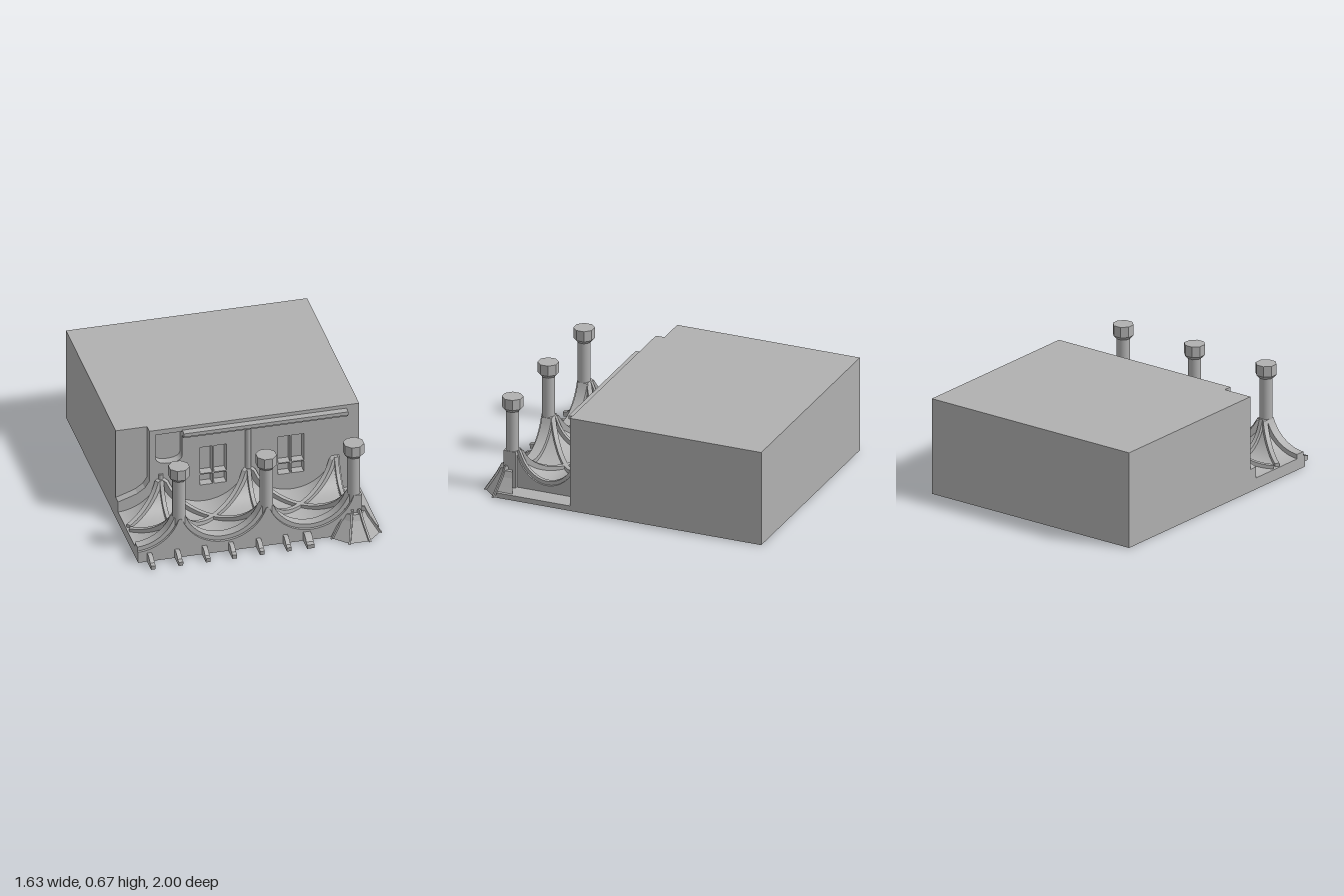
import * as THREE from 'three';
import { toCreasedNormals } from 'three/addons/utils/BufferGeometryUtils.js';

const stone = new THREE.MeshStandardMaterial({ color: 0xb0b0b0 });
stone.name = 'grey stone';

const COLUMNS = [-0.525, 0.06, 0.645];
const BAY = 0.585, VAULT_Z = 0.575, VAULT_HALF = 0.225;

// Height of the inverted arch: t = 0 at its low point, 1 at the springing
function arch(t, lift) {
  const r = 0.295 - lift;
  return Math.min(0.29, 0.374 - Math.sqrt(Math.max(0, r * r - (0.2925 * t) ** 2)));
}
function bayT(x) {
  const u = Math.min((x - COLUMNS[0]) / BAY, 2);
  return u === 2 ? 1 : Math.abs(2 * (u - Math.floor(u)) - 1);
}

export function createModel() {
  const model = new THREE.Group();
  model.name = 'vaultedGallery';

  function add(name, geo, x = 0, y = 0, z = 0) {
    const mesh = new THREE.Mesh(geo, stone);
    mesh.name = name;
    mesh.position.set(x, y, z);
    model.add(mesh);
    return mesh;
  }
  function block(name, x0, x1, y0, y1, z0, z1) {
    return add(name, new THREE.BoxGeometry(x1 - x0, y1 - y0, z1 - z0),
      (x0 + x1) / 2, (y0 + y1) / 2, (z0 + z1) / 2);
  }
  const outline = (pts) => new THREE.Shape(pts.map(([x, y]) => new THREE.Vector2(x, y)));
  const extrude = (shape, depth) =>
    new THREE.ExtrudeGeometry(shape, { depth, bevelEnabled: false, curveSegments: 10 });
  function flat(geo) {
    const g = geo.index ? geo.toNonIndexed() : geo;
    g.computeVertexNormals();
    return g;
  }

  // Main hall with a pierced front layer
  block('hall', -0.81, 0.805, 0, 0.66, -1, 0.29);
  const facade = outline([[-0.81, 0], [0.805, 0], [0.805, 0.66], [-0.6, 0.66], [-0.6, 0.28],
    [-0.63, 0.235], [-0.68, 0.2], [-0.74, 0.178], [-0.81, 0.155]]);
  for (const x of [-0.26, 0.26]) {
    for (const [a, b] of [[0, 0.083], [0.092, 0.175]]) {
      for (const [y0, y1] of [[0.2, 0.278], [0.286, 0.485]]) {
        facade.holes.push(new THREE.Path([[x + a, y0], [x + b, y0], [x + b, y1], [x + a, y1]]
          .map(([px, py]) => new THREE.Vector2(px, py))));
      }
    }
  }
  // Niche with a rounded foot
  const niche = new THREE.Path();
  niche.moveTo(-0.56, 0.625);
  niche.lineTo(-0.56, 0.45);
  niche.quadraticCurveTo(-0.55, 0.4, -0.47, 0.4);
  niche.quadraticCurveTo(-0.39, 0.4, -0.38, 0.44);
  niche.lineTo(-0.38, 0.625);
  facade.holes.push(niche);
  add('facade', extrude(facade, 0.06), 0, 0, 0.29);

  // Cornice and wall shafts
  block('corniceLower', -0.38, 0.72, 0.595, 0.612, 0.35, 0.385);
  block('corniceUpper', -0.38, 0.72, 0.61, 0.635, 0.35, 0.398);
  add('wallShaft', new THREE.CylinderGeometry(0.02, 0.02, 0.35, 16), 0.06, 0.425, 0.353);
  add('wallStub', new THREE.CylinderGeometry(0.015, 0.015, 0.05, 16), COLUMNS[0], 0.3, 0.352);

  // Floor and vault core
  block('floorSlab', -0.81, 0.805, 0, 0.035, 0.35, 0.87);
  block('vaultCore', -0.81, 0.665, 0, 0.078, 0.35, 0.8);

  // Inverted groin vault
  const x0 = -0.81, x1 = 0.645, z0 = 0.35, z1 = 0.8;
  const vault = new THREE.PlaneGeometry(x1 - x0, z1 - z0, 140, 44);
  vault.rotateX(-Math.PI / 2);
  vault.translate((x0 + x1) / 2, 0, (z0 + z1) / 2);
  const vp = vault.attributes.position;
  for (let i = 0; i < vp.count; i++) {
    const tz = Math.abs(vp.getZ(i) - VAULT_Z) / VAULT_HALF;
    vp.setY(i, arch(Math.min(bayT(vp.getX(i)), tz), 0));
  }
  add('vaultWeb', toCreasedNormals(vault, 0.5));

  // Curved rib between two plan points; ta and tb run along the arch
  function rib(name, ax, az, bx, bz, ta, tb, width, lift, base) {
    const len = Math.hypot(bx - ax, bz - az);
    const g = new THREE.BoxGeometry(width, 1, len, 1, 1, 32);
    const p = g.attributes.position;
    for (let i = 0; i < p.count; i++) {
      const t = Math.abs(ta + (tb - ta) * (p.getZ(i) / len + 0.5));
      p.setY(i, p.getY(i) > 0 ? arch(t, lift) : base ?? arch(t, 0) - 0.03);
    }
    const mesh = add(name, toCreasedNormals(g, 0.5), (ax + bx) / 2, 0, (az + bz) / 2);
    mesh.rotation.y = Math.atan2(bx - ax, bz - az);
  }
  for (const x of COLUMNS) {
    rib('transverseRib', x, z0, x, z1, -1, 1, 0.026, 0.03);
  }
  rib('endArchWall', 0.65, z0, 0.65, z1, -1, 1, 0.04, 0.004, 0);
  for (let i = 0; i < 2; i++) {
    const a = COLUMNS[i], b = COLUMNS[i + 1];
    rib('diagonalRib', a, z0, b, z1, -1, 1, 0.03, 0.022);
    rib('diagonalRib', a, z1, b, z0, -1, 1, 0.03, 0.022);
  }
  for (const z of [z0, z1]) {
    const zs = VAULT_Z + (z - VAULT_Z) * 0.08;
    rib('diagonalRib', -0.794, zs, COLUMNS[0], z, 0.08, 1, 0.03, 0.022);
  }

  // Front arcade: a thin face plate and a raised arch band behind it
  function arcade(name, lift, za, zb) {
    const pts = [[-0.81, 0], [0.69, 0]];
    for (let i = 0; i <= 110; i++) {
      const x = 0.69 - (1.5 * i) / 110;
      pts.push([x, arch(bayT(x), lift)]);
    }
    add(name, toCreasedNormals(extrude(outline(pts), zb - za), 0.5), 0, 0, za);
  }
  arcade('arcadeBand', 0.03, 0.785, 0.852);
  arcade('arcadeFace', 0, 0.85, 0.87);

  // Columns with octagonal heads
  for (const x of COLUMNS) {
    add('columnShaft', new THREE.CylinderGeometry(0.043, 0.043, 0.37, 24), x, 0.4, 0.825);
    const head = new THREE.LatheGeometry([[0, 0.57], [0.05, 0.57], [0.07, 0.592], [0.07, 0.665], [0, 0.665]]
      .map(([r, y]) => new THREE.Vector2(r, y)), 8, Math.PI / 8);
    add('columnHead', flat(head), x, 0, 0.825);
  }

  // Small curled brackets along the front
  const curl = outline([[0.86, 0], [0.975, 0], [0.98, 0.03], [0.95, 0.036], [0.935, 0.052],
    [0.905, 0.065], [0.86, 0.065]]);
  [-0.735, -0.55, -0.367, -0.19, -0.005, 0.175, 0.32].forEach((x, i) => {
    const w = i === 6 ? 0.048 : 0.03;
    const g = extrude(curl, w);
    g.rotateY(-Math.PI / 2);
    add('bracket', g, x + w / 2, 0, 0);
  });

  // Flared corner foot: faceted skirt with a rib on each edge
  const foot = new THREE.Group();
  foot.name = 'cornerFoot';
  foot.position.set(0.645, 0, 0.825);
  model.add(foot);
  const skirt = new THREE.Mesh(flat(new THREE.LatheGeometry(
    [[0, 0], [0.172, 0], [0.13, 0.065], [0.095, 0.12], [0.078, 0.16], [0, 0.16]]
      .map(([r, y]) => new THREE.Vector2(r, y)), 5, -Math.PI * 0.625, Math.PI * 1.25)), stone);
  skirt.name = 'footSkirt';
  foot.add(skirt);
  const fin = outline([[0.03, 0], [0.185, 0], [0.142, 0.065], [0.107, 0.12], [0.088, 0.155],
    [0.072, 0.19], [0.055, 0.19], [0.03, 0.15]]);
  for (let i = 0; i < 4; i++) {
    const g = extrude(fin, 0.014);
    g.translate(0, 0, -0.007);
    const mesh = new THREE.Mesh(g, stone);
    mesh.name = 'footRib';
    mesh.rotation.y = -Math.PI / 8 - (i * Math.PI) / 4;
    foot.add(mesh);
  }
  return model;
}
